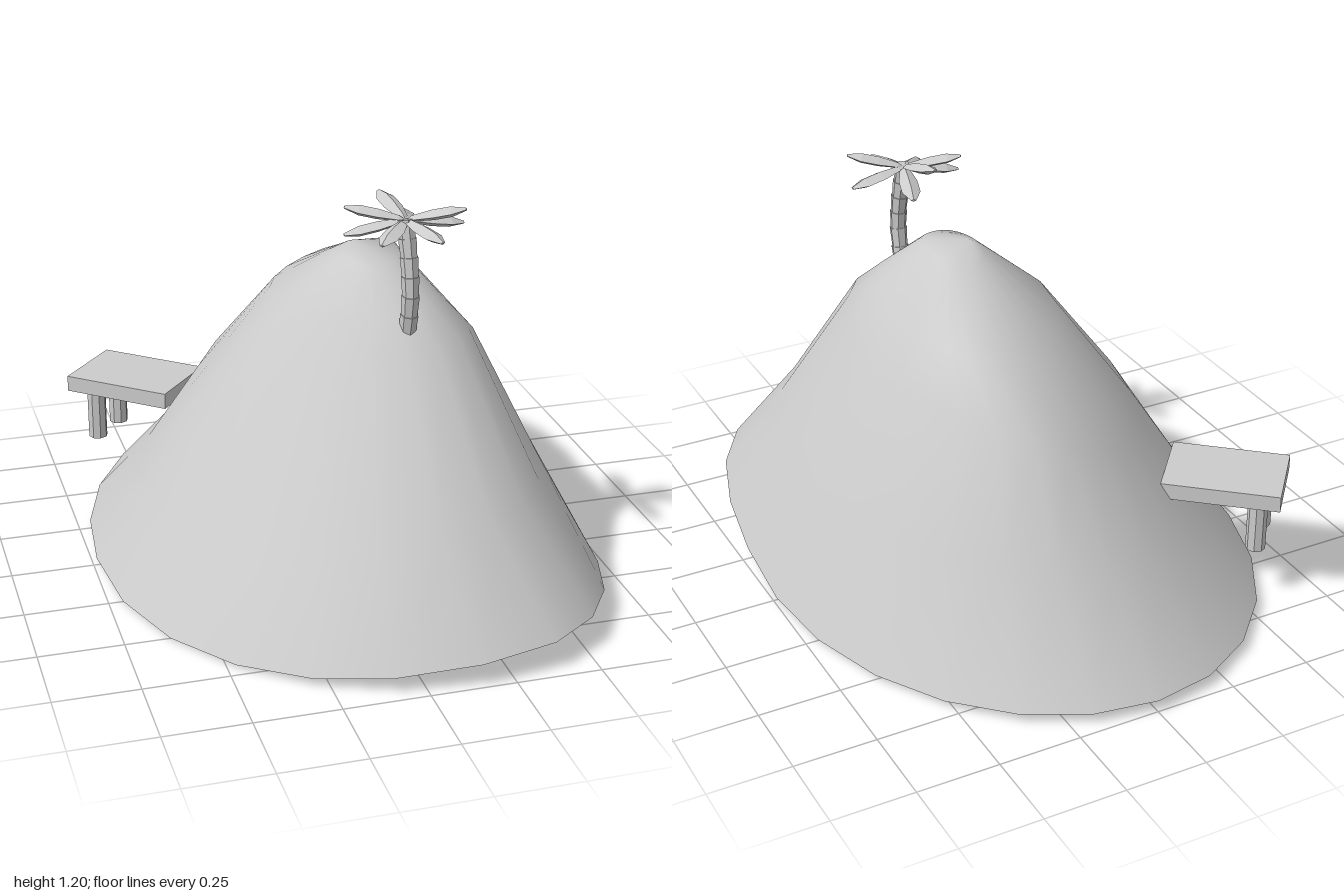
import * as THREE from 'three';

const grey = new THREE.MeshStandardMaterial({ color: 0xcccccc });
const smooth = new THREE.MeshStandardMaterial({ color: 0xcccccc, side: THREE.DoubleSide });
const faceted = new THREE.MeshStandardMaterial({ color: 0xcccccc, flatShading: true });

function add(parent, name, geometry, material) {
  const mesh = new THREE.Mesh(geometry, material);
  mesh.name = name;
  parent.add(mesh);
  return mesh;
}

// Hollow hill lofted through uneven oval rings, closed at the peak
function hillGeometry() {
  const sides = 24;
  // each ring: x and z as low/middle/high, y at -x, +x, back and front,
  // skew = sideways shift of back and front, tilt = rise of the +x diagonals (back, front),
  // full = exponent that squares off the front half
  const rings = [
    { x: [-0.74, 0, 0.74], z: [-1, 0, 1], y: [0.015, 0.0, 0.03, 0.065], skew: [0, 0.15], tilt: [0, 0.08], full: 0.85 },
    { x: [-0.58, 0, 0.58], z: [-0.75, 0.03, 0.79], y: [0.26, 0.33, 0.32, 0.34], skew: [0.02, 0.1], tilt: [0.08, 0.08], full: 0.95 },
    { x: [-0.42, 0.02, 0.4], z: [-0.6, 0.02, 0.47], y: [0.52, 0.67, 0.65, 0.76], skew: [0.06, 0.07], tilt: [0.14, 0.12], full: 1 },
    { x: [-0.19, 0.05, 0.29], z: [-0.35, 0.06, 0.38], y: [0.83, 0.83, 0.83, 0.86], skew: [0.09, 0.04], tilt: [0.03, 0.04], full: 1 },
    { x: [-0.01, 0.06, 0.16], z: [-0.01, 0.12, 0.26], y: [0.975, 0.99, 0.955, 0.97], skew: [0.02, 0], tilt: [0, 0], full: 1 },
  ];
  const positions = [];
  const index = [];
  for (const r of rings) {
    for (let i = 0; i < sides; i++) {
      const a = (i / sides) * Math.PI * 2;
      const s = Math.sin(a), c = Math.cos(a);
      const half = c > 0 ? 1 : 0;
      const reach = Math.pow(Math.abs(s), half ? r.full : 1);
      const x = r.x[1] + reach * ((s > 0 ? r.x[2] : r.x[0]) - r.x[1]);
      const z = r.z[1] + Math.abs(c) * (r.z[half * 2] - r.z[1]);
      const y = s * s * r.y[s > 0 ? 1 : 0] + c * c * r.y[2 + half];
      positions.push(x + r.skew[half] * c * c, y + r.tilt[half] * s * Math.abs(c), z);
    }
  }
  for (let k = 0; k < rings.length - 1; k++) {
    for (let i = 0; i < sides; i++) {
      const j = (i + 1) % sides;
      const a = k * sides + i, b = k * sides + j;
      index.push(a, b, b + sides, a, b + sides, a + sides);
    }
  }
  const top = (rings.length - 1) * sides;
  const peak = positions.length / 3;
  positions.push(0.03, 1.0, 0.1);
  for (let i = 0; i < sides; i++) index.push(top + i, top + ((i + 1) % sides), peak);

  const g = new THREE.BufferGeometry();
  g.setAttribute('position', new THREE.Float32BufferAttribute(positions, 3));
  g.setIndex(index);
  g.computeVertexNormals();
  return g;
}

// Leaning palm: ringed trunk sections and thick, blunt leaves
function makePalm() {
  const palm = new THREE.Group();
  palm.name = 'palmTree';

  const path = new THREE.CatmullRomCurve3([
    new THREE.Vector3(0.115, 0.81, 0.395),
    new THREE.Vector3(0.117, 0.93, 0.414),
    new THREE.Vector3(0.115, 1.04, 0.402),
    new THREE.Vector3(0.11, 1.145, 0.38),
  ]);
  const count = 6;
  const up = new THREE.Vector3(0, 1, 0);
  for (let i = 0; i < count; i++) {
    const a = path.getPoint(i / count), b = path.getPoint((i + 1) / count);
    const dir = b.clone().sub(a);
    const section = add(palm, 'trunkSection',
      new THREE.CylinderGeometry(0.027, 0.024, dir.length() + 0.004, 7), faceted);
    section.position.copy(a).add(b).multiplyScalar(0.5);
    section.quaternion.setFromUnitVectors(up, dir.normalize());
  }

  // four-sided spindle lying along +z, wide in x and thin in y
  const profile = [[0, 0], [0.016, 0.02], [0.028, 0.08], [0.028, 0.135], [0.008, 0.178], [0, 0.18]]
    .map(([r, h]) => new THREE.Vector2(r, h));
  const leaf = new THREE.LatheGeometry(profile, 4).rotateX(Math.PI / 2).scale(1, 0.55, 1);
  const tips = [
    [0.29, 1.115, 0.36], [0.265, 1.185, 0.45], [0.165, 1.125, 0.545], [0.01, 1.11, 0.48],
    [-0.065, 1.11, 0.36], [-0.05, 1.175, 0.31], [0.08, 1.185, 0.22], [0.16, 1.11, 0.205],
  ];
  const crown = new THREE.Vector3(0.11, 1.145, 0.378);
  for (const t of tips) {
    const tip = new THREE.Vector3(...t);
    const m = add(palm, 'leaf', leaf, faceted);
    m.position.copy(crown);
    m.scale.z = tip.distanceTo(crown) / 0.18;
    m.lookAt(tip);
  }
  return palm;
}

// Small jetty set into the slope, on two posts
function makeJetty() {
  const jetty = new THREE.Group();
  jetty.name = 'jetty';
  jetty.position.set(-0.505, 0, -0.53);
  jetty.rotation.y = -0.705;
  add(jetty, 'deck', new THREE.BoxGeometry(0.355, 0.05, 0.25), grey).position.y = 0.367;
  for (const side of [-1, 1]) {
    add(jetty, 'post', new THREE.CylinderGeometry(0.03, 0.03, 0.175, 8), faceted)
      .position.set(-0.107, 0.2625, side * 0.067);
  }
  return jetty;
}

export function createModel() {
  const model = new THREE.Group();
  model.name = 'islandHill';
  add(model, 'hill', hillGeometry(), smooth);
  model.add(makePalm(), makeJetty());
  return model;
}
